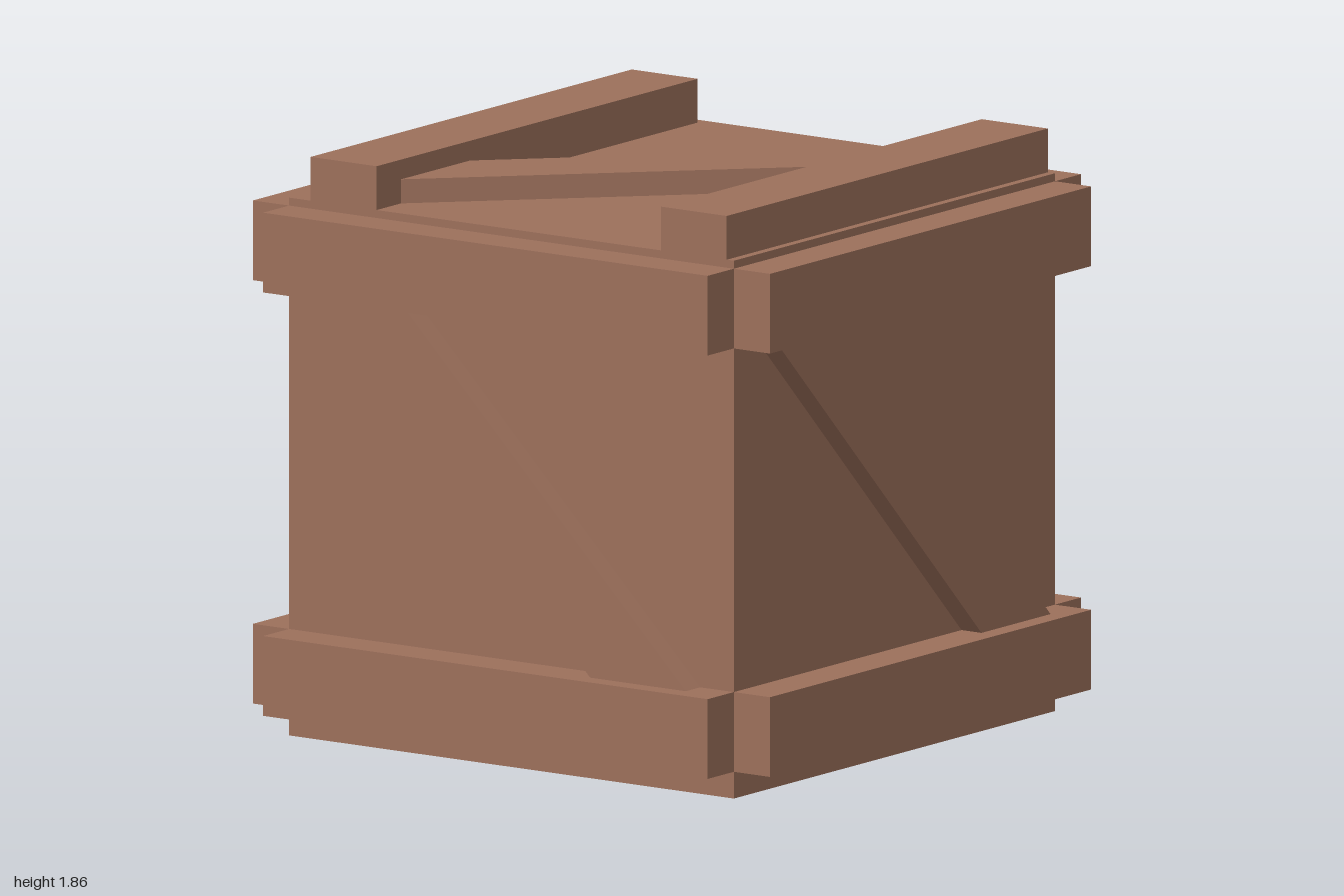
import * as THREE from 'three';

const HALF = 0.86; // half the side of the box

export function createModel() {
  const crate = new THREE.Group();
  crate.name = 'crate';
  const wood = new THREE.MeshStandardMaterial({ color: 0x9c705b });
  wood.name = 'brown wood';

  const add = (parent, name, geometry, x, y, z) => {
    const mesh = new THREE.Mesh(geometry, wood);
    mesh.name = name;
    mesh.position.set(x, y, z);
    parent.add(mesh);
  };

  // Plain cube in the middle
  add(crate, 'boxBody', new THREE.BoxGeometry(2 * HALF, 2 * HALF, 2 * HALF), 0, HALF, 0);

  // Shared boards: straight plank and slanted brace, its ends tucked into the planks
  const plank = new THREE.BoxGeometry(2 * HALF, 0.255, 0.14);
  const outline = new THREE.Shape([
    [0.40, -0.59], [0.77, -0.59], [-0.40, 0.59], [-0.77, 0.59],
  ].map(([x, y]) => new THREE.Vector2(x, y)));
  const brace = new THREE.ExtrudeGeometry(outline, { depth: 0.077, bevelEnabled: false });

  // Two planks and a brace on one face, built facing +z and shifted along the face
  const makePanel = (name, shift) => {
    const panel = new THREE.Group();
    panel.name = name;
    panel.position.y = HALF;
    for (const side of [-1, 1]) {
      add(panel, side > 0 ? 'upperPlank' : 'lowerPlank', plank, 0, shift + side * 0.677, HALF + 0.07);
    }
    add(panel, 'diagonalBrace', brace, 0, shift, HALF);
    crate.add(panel);
    return panel;
  };

  // Four sides turned around the upright axis
  ['frontPanel', 'leftPanel', 'backPanel', 'rightPanel'].forEach((name, i) => {
    makePanel(name, 0.03).rotation.y = i * Math.PI / 2;
  });

  // Lid, with its boards set slightly to the front
  makePanel('lidPanel', -0.028).rotation.x = -Math.PI / 2;

  return crate;
}
